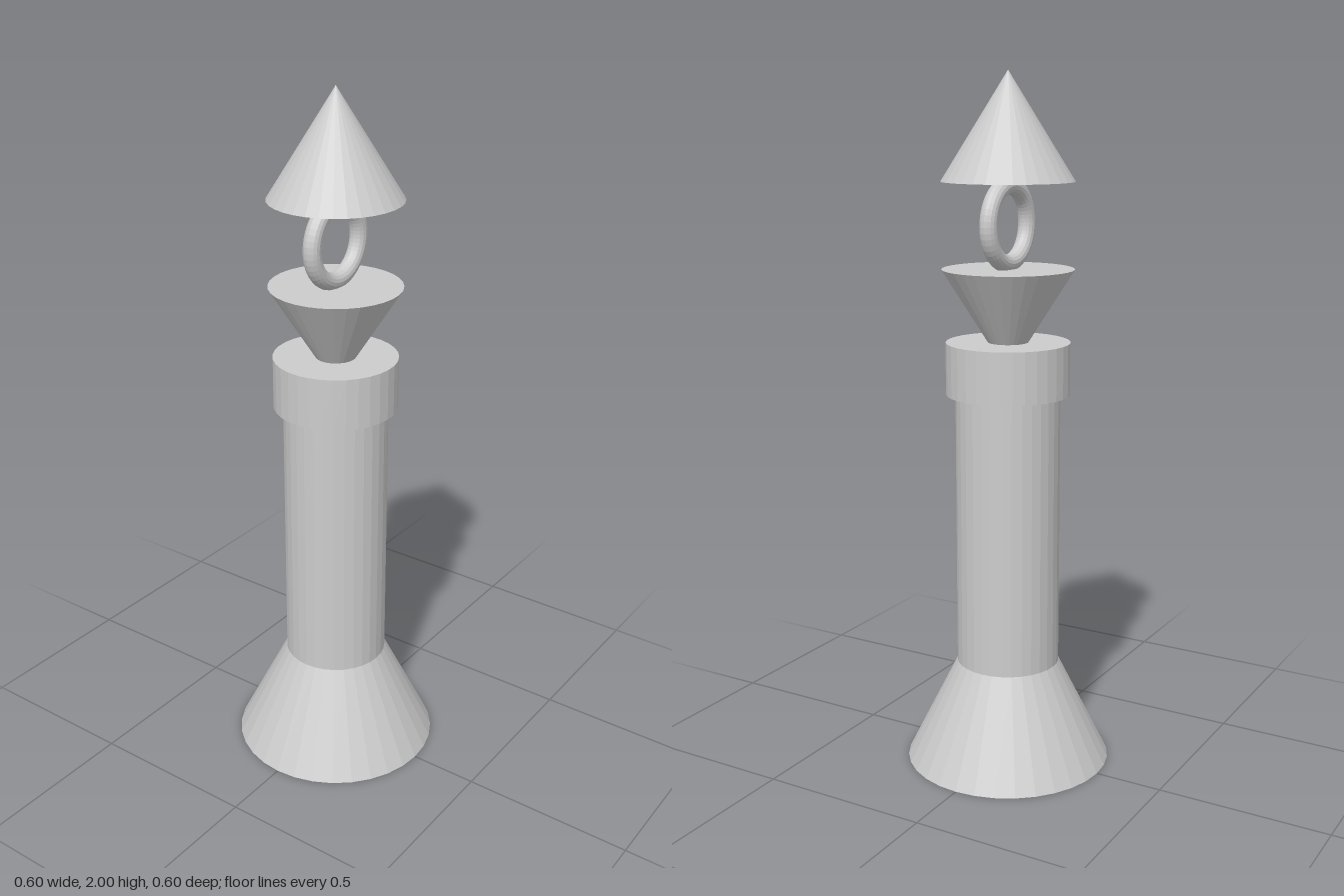
import * as THREE from 'three';

const SIDES = 32;

export function createModel() {
  const model = new THREE.Group();
  const grey = new THREE.MeshStandardMaterial({ color: 0xcccccc });
  grey.name = 'light grey';
  grey.flatShading = true;

  const add = (name, geometry, y) => {
    const mesh = new THREE.Mesh(geometry, grey);
    mesh.name = name;
    mesh.position.y = y;
    model.add(mesh);
    return mesh;
  };
  // Round section standing between two heights
  const section = (name, rTop, rBottom, y0, y1) =>
    add(name, new THREE.CylinderGeometry(rTop, rBottom, y1 - y0, SIDES), (y0 + y1) / 2);

  // Tower: flared base, shaft and collar
  section('base', 0.15, 0.3, 0, 0.302);
  section('shaft', 0.15, 0.15, 0.302, 1.106);
  section('collar', 0.177, 0.177, 1.106, 1.255);

  // Upturned cone with its point sunk into the collar
  const cone = new THREE.ConeGeometry(0.187, 0.298, SIDES);
  add('upturnedCone', cone, 1.312).rotation.x = Math.PI;

  // Upright ring between the two cones
  add('ring', new THREE.TorusGeometry(0.107, 0.025, 16, 48), 1.584);

  // Pointed roof
  add('roof', cone, 1.851);

  return model;
}
